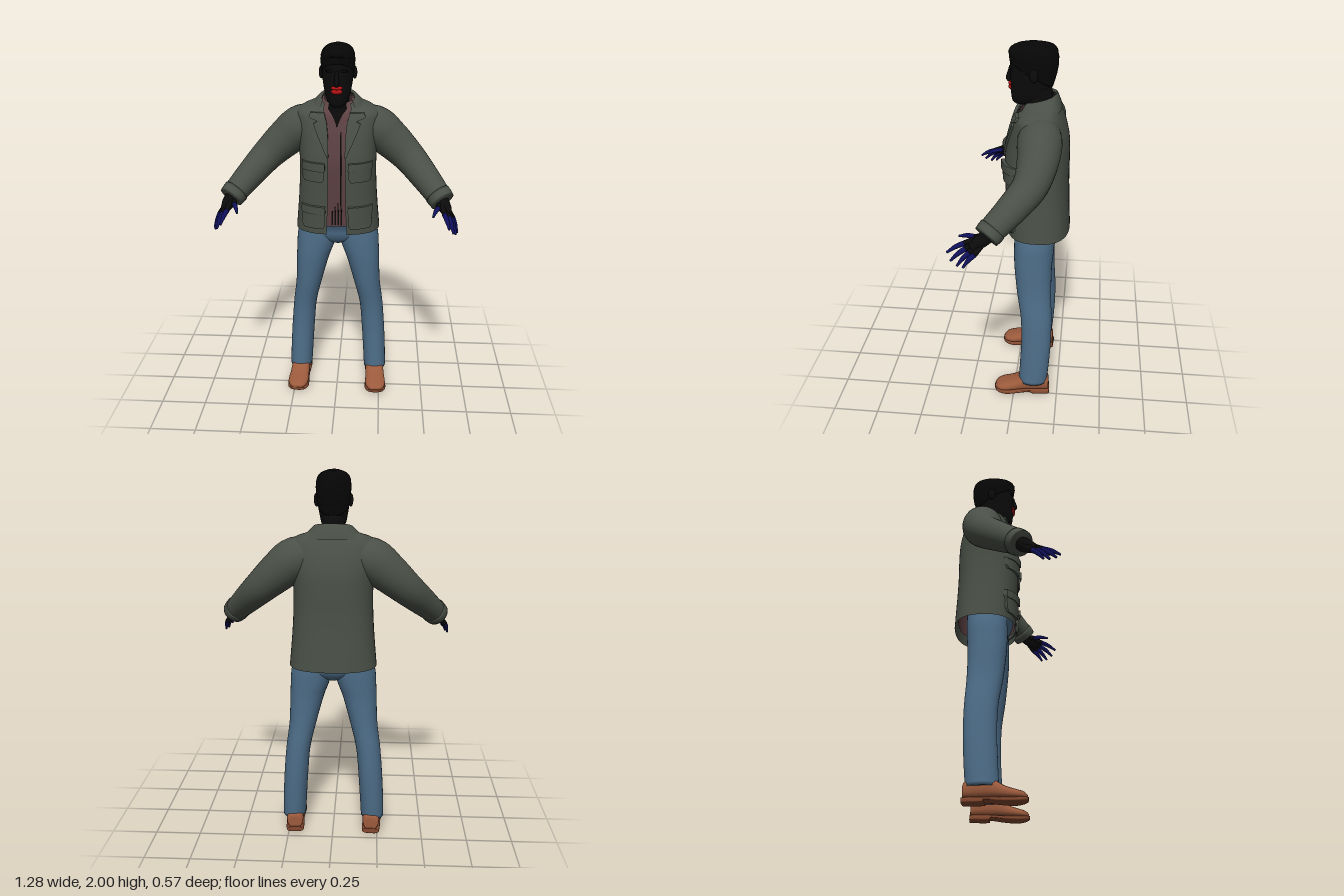
import * as THREE from 'three';
import { mergeVertices, toCreasedNormals } from 'three/addons/utils/BufferGeometryUtils.js';

const paint = (name, color, side = THREE.FrontSide) => {
  const m = new THREE.MeshStandardMaterial({ color, side });
  m.name = name;
  return m;
};

// Grid of points, u to the right and v upwards when seen from outside
function grid(nu, nv, fn, smooth = true) {
  const pos = [], idx = [];
  for (let j = 0; j <= nv; j++) for (let i = 0; i <= nu; i++) pos.push(...fn(i, j));
  for (let j = 0; j < nv; j++) for (let i = 0; i < nu; i++) {
    const a = j * (nu + 1) + i, d = a + nu + 1;
    idx.push(a, a + 1, d + 1, a, d + 1, d);
  }
  let g = new THREE.BufferGeometry();
  g.setAttribute('position', new THREE.Float32BufferAttribute(pos, 3));
  g.setIndex(idx);
  if (!smooth) return toCreasedNormals(g, 0.7);
  g = mergeVertices(g, 1e-5);
  g.computeVertexNormals();
  return g;
}

// Catmull-Rom interpolation through rows of numbers
function rowAt(rows, t) {
  const last = rows.length - 1, i = Math.min(Math.floor(t), last - 1), f = t - i;
  const [a, b, c, d] = [i - 1, i, i + 1, i + 2].map(k => rows[Math.max(0, Math.min(last, k))]);
  return b.map((v, k) => v + 0.5 * f * (c[k] - a[k] + f * (2 * a[k] - 5 * v + 4 * c[k] - d[k]
    + f * (3 * (v - c[k]) + d[k] - a[k]))));
}

// Row: [y, half width, front z, back z, front gap, tilt, centre x]
const fill = rows => rows.map(r => [0, 1, 2, 3, 4, 5, 6].map(k => r[k] || 0));
const power = (v, p) => Math.sign(v) * Math.abs(v) ** p;

// Stacked superellipse sections; open at the front when a gap is given
function loft(list, { n = 2.2, open = false, bump = 0, seg = 40 } = {}) {
  const rows = fill(list), nv = (rows.length - 1) * 5, cap = open ? 0 : 1;
  return grid(seg, nv + 2 * cap, (i, j) => {
    const k = Math.max(0, Math.min(nv, j - cap));
    const [y, rx, zf, zb, gap, tilt, cx] = rowAt(rows, k / 5);
    const s = cap && (j === 0 || j === nv + 2) ? 0
      : 1 + bump * Math.sin(i * Math.PI * 0.7) * Math.cos(k * 1.9 + i * 0.5 * Math.PI);
    const a0 = open ? Math.asin(Math.min(1, Math.max(0, gap) / rx) ** (n / 2)) : 0;
    const a = a0 + (2 * Math.PI - 2 * a0) * i / seg;
    const z = (zf + zb) / 2 + s * (zf - zb) / 2 * power(Math.cos(a), 2 / n);
    return [cx + s * rx * power(Math.sin(a), 2 / n), y - tilt * (z - zb), z];
  });
}

// Tapered tube through [x, y, z, radius]
function limb(rows, nu = 12, nv = 12) {
  const curve = new THREE.CatmullRomCurve3(rows.map(r => new THREE.Vector3(...r)));
  const { normals, binormals } = curve.computeFrenetFrames(nv);
  return grid(nu, nv + 2, (i, j) => {
    const k = Math.max(0, Math.min(nv, j - 1)), a = 2 * Math.PI * i / nu;
    const t = curve.getUtoTmapping(k / nv);
    const r = j === 0 || j === nv + 2 ? 0 : rowAt(rows, t * (rows.length - 1))[3];
    return curve.getPointAt(k / nv).addScaledVector(normals[k], r * Math.cos(a))
      .addScaledVector(binormals[k], r * Math.sin(a)).toArray();
  });
}

// Front z of a lofted garment
function frontZ(rows, x, y, n) {
  let lo = 0, hi = rows.length - 1;
  for (let k = 0; k < 24; k++) {
    const mid = (lo + hi) / 2;
    if (rowAt(rows, mid)[0] < y) lo = mid; else hi = mid;
  }
  const [, rx, zf, zb] = rowAt(rows, lo);
  return (zf + zb) / 2 + (zf - zb) / 2 * Math.max(0, 1 - Math.min(1, Math.abs(x) / rx) ** n) ** (1 / n);
}

// Raised cloth patch on a garment; outline rows [y, x0, x1] from bottom to top
function patch(garment, outline, lift, n = 2.5) {
  const nu = 10, nv = 14, clamp = v => Math.max(0, Math.min(1, v));
  return grid(nu, nv, (i, j) => {
    const t = clamp((j - 1) / (nv - 2)) * (outline.length - 1);
    const k = Math.min(Math.floor(t), outline.length - 2);
    const [y, x0, x1] = outline[k].map((v, q) => v + (outline[k + 1][q] - v) * (t - k));
    const x = x0 + (x1 - x0) * clamp((i - 1) / (nu - 2));
    const rim = i === 0 || j === 0 || i === nu || j === nv;
    return [x, y, frontZ(garment, x, y, n) + (rim ? -0.006 : lift)];
  }, false);
}

function mirror(geo) {
  const g = geo.clone().scale(-1, 1, 1);
  const idx = g.index ? Array.from(g.index.array) : [...Array(g.attributes.position.count).keys()];
  for (let i = 0; i < idx.length; i += 3) [idx[i + 1], idx[i + 2]] = [idx[i + 2], idx[i + 1]];
  g.setIndex(idx);
  return g;
}

const ball = (x, y, z, a, b, c) => new THREE.SphereGeometry(1, 16, 12).scale(a, b, c).translate(x, y, z);

export function createModel() {
  const model = new THREE.Group();
  const skin = paint('skin', 0x0b0b0b), hairColor = paint('hair', 0x060606);
  const lipRed = paint('lip red', 0xb51212), navy = paint('finger navy', 0x10105c);
  const teal = paint('nail teal', 0x0c7070), olive = paint('jacket olive', 0x4a5047, THREE.DoubleSide);
  const maroon = paint('shirt maroon', 0x5c4042, THREE.DoubleSide), denim = paint('denim', 0x4d6d88);
  const leather = paint('shoe leather', 0x9b5a3c), soleBrown = paint('sole brown', 0x84492f);
  const add = (name, geo, mat) => {
    const m = new THREE.Mesh(geo, mat);
    m.name = name;
    model.add(m);
  };
  const pair = (name, geo, mat) => {
    add(name + 'Left', geo, mat);
    add(name + 'Right', mirror(geo), mat);
  };

  // Head, neck and face
  add('neck', loft([[1.54, .1, -.03, -.2], [1.62, .076, -.03, -.19], [1.66, .063, -.035, -.185],
    [1.7, .06, -.03, -.18], [1.78, .06, -.03, -.17]]), skin);
  add('head', loft([[1.685, .025, .012, -.05], [1.70, .046, .028, -.11], [1.73, .062, .034, -.15],
    [1.77, .071, .038, -.165], [1.82, .079, .038, -.18], [1.87, .084, .04, -.193], [1.92, .085, .04, -.197],
    [1.96, .074, .025, -.185], [1.985, .045, -.02, -.15]]), skin);
  add('hair', loft([[1.78, .083, .043, -.176, 0, -.6], [1.84, .088, .046, -.193, 0, -.42],
    [1.90, .089, .047, -.202, 0, -.2], [1.955, .082, .04, -.197, 0, -.05],
    [1.985, .06, .012, -.175], [1.998, .025, -.035, -.125]], { bump: .02 }), hairColor);
  add('nose', limb([[0, 1.875, .036, .008], [0, 1.835, .045, .011], [0, 1.812, .048, .014], [0, 1.803, .04, .012]]), skin);
  pair('ear', ball(.087, 1.85, -.085, .013, .034, .022), skin);
  pair('brow', ball(.035, 1.875, .03, .024, .007, .01), hairColor);
  add('upperLip', ball(0, 1.79, .035, .03, .011, .014), lipRed);
  add('lowerLip', ball(0, 1.771, .034, .029, .014, .014), lipRed);

  // Jacket shell, open at the front
  const jacketRows = fill([[.99, .232, .052, -.285, .055], [1.1, .222, .058, -.28, .05], [1.2, .214, .062, -.275, .047],
    [1.3, .209, .066, -.272, .045], [1.4, .208, .066, -.272, .045], [1.5, .213, .05, -.268, .047],
    [1.58, .222, .03, -.25, .055], [1.64, .222, .01, -.228, .066], [1.68, .185, -.015, -.21, .07, .08],
    [1.71, .125, -.025, -.198, .07, .2], [1.73, .09, -.03, -.19, .065, .25]]);
  add('jacketBody', loft(jacketRows, { n: 2.5, open: true, seg: 60 }), olive);
  add('jacketCollar', loft([[1.672, .165, -.002, -.225, .1, .1], [1.705, .135, -.008, -.215, .09, .18],
    [1.745, .096, -.02, -.198, .078, .25], [1.735, .084, -.028, -.188, .07, .25]], { n: 2.4, open: true }), olive);
  pair('lapel', patch(jacketRows, [[1.43, .043, .05], [1.53, .045, .095], [1.6, .052, .125], [1.615, .055, .1],
    [1.63, .06, .15], [1.655, .066, .14]], .011), olive);

  // Bellows pockets with flaps
  for (const [name, y0, y1, x1] of [['chest', 1.295, 1.4, .185], ['lower', 1.025, 1.155, .19]]) {
    pair(name + 'Pocket', patch(jacketRows, [[y0, .075, x1 - .01], [y0 + .02, .065, x1], [y1 - .02, .065, x1]], .012), olive);
    pair(name + 'PocketFlap', patch(jacketRows, [[y1 - .045, .07, x1], [y1 - .035, .06, x1 + .004],
      [y1, .062, x1 + .002]], .019), olive);
  }

  // Sleeves and cuff tabs
  pair('sleeve', limb([[.1, 1.575, -.125, .095], [.195, 1.555, -.127, .112], [.28, 1.49, -.125, .104],
    [.38, 1.4, -.096, .088], [.47, 1.31, -.01, .076], [.53, 1.247, .06, .067], [.56, 1.213, .093, .062]], 28, 30), olive);
  pair('cuff', limb([[.535, 1.242, .066, .07], [.55, 1.226, .082, .069], [.562, 1.212, .095, .066]], 28, 4), olive);

  // Shirt under the jacket, parted at the neck
  const shirtRows = jacketRows.slice(1).map(([y, rx, zf, zb, , tilt]) =>
    [Math.max(y, 1.035), rx - .018, zf - .014, zb + .012, Math.max(0, Math.min(.045, (y - 1.6) * .6)), tilt, 0]);
  shirtRows[0][0] = 1.035;
  add('shirt', loft(shirtRows, { n: 2.5, open: true }), maroon);
  add('shirtPlacket', patch(shirtRows, [[1.16, .018, .026], [1.56, .018, .024]], .003), skin);
  for (let k = 0; k < 4; k++) {
    const x = -.028 + k * .016;
    add('shirtHemGap', patch(shirtRows, [[1.045, x, x + .009], [1.13 + .02 * k, x + .002, x + .007]], .003), skin);
  }

  // Jeans
  add('jeansHips', loft([[.9, .03, -.045, -.15], [.925, .11, -.015, -.185], [.96, .19, .003, -.208],
    [1.0, .214, .012, -.214], [1.05, .2, .035, -.22]], { n: 2.5 }), denim);
  // [y, inner x, outer x, front z, back z]
  const leg = [[.08, .158, .287, -.028, -.19], [.2, .151, .283, -.034, -.2], [.35, .141, .274, -.04, -.208],
    [.5, .127, .261, -.035, -.207], [.65, .092, .242, -.012, -.2], [.8, .051, .236, .004, -.2],
    [.88, .022, .232, .008, -.206], [.95, .004, .227, .008, -.21], [1.03, .004, .21, .005, -.21]]
    .map(([y, a, b, zf, zb]) => [y, (b - a) / 2, zf, zb, 0, 0, (a + b) / 2]);
  pair('jeansLeg', loft(leg), denim);

  // Shoes: sections run from heel to toe [z, half width, bottom y, top y]
  const shoe = (rows, n) => loft(rows.map(([z, w, b, t]) => [z, w, -b, -t]), { n })
    .rotateX(Math.PI / 2).rotateY(.06).translate(.226, 0, 0);
  pair('shoeUpper', shoe([[-.2, .03, .025, .075], [-.19, .044, .02, .11], [-.12, .05, .018, .13], [-.06, .053, .018, .12],
    [0, .056, .016, .085], [.055, .058, .014, .066], [.09, .045, .016, .055], [.108, .02, .02, .04]], 2.4), leather);
  pair('shoeSole', shoe([[-.202, .03, 0, .03], [-.195, .048, 0, .03], [-.105, .051, 0, .03], [-.09, .05, .012, .03],
    [-.02, .056, .004, .027], [.05, .062, 0, .026], [.095, .046, .006, .028], [.112, .018, .013, .03]], 4), soleBrown);

  // Hands: palm rays in skin, fingers in navy
  const wrist = [.555, 1.218, .085];
  pair('palm', limb([[...wrist, .036], [.572, 1.19, .125, .034], [.588, 1.163, .165, .022]]), skin);
  const fingers = [
    ['index', [.566, 1.176, .198], [.585, 1.13, .284]], ['middle', [.589, 1.16, .19], [.61, 1.1, .263]],
    ['ring', [.604, 1.147, .171], [.625, 1.082, .23]], ['little', [.614, 1.142, .146], [.635, 1.08, .2]],
    ['thumb', [.534, 1.194, .15], [.505, 1.178, .236]]];
  for (const [name, k, t] of fingers) {
    const mid = k.map((v, q) => (v + t[q]) / 2 + (q === 1 ? .006 : 0));
    pair(name + 'Ray', limb([[...wrist, .02], [...k, .014]], 10, 6), skin);
    pair(name + 'Finger', limb([[...k, .0135], [...mid, .0115], [...t, .006]], 10, 8), navy);
    pair(name + 'Nail', ball(t[0], t[1] + .004, t[2] - .004, .005, .004, .006), teal);
  }
  return model;
}
